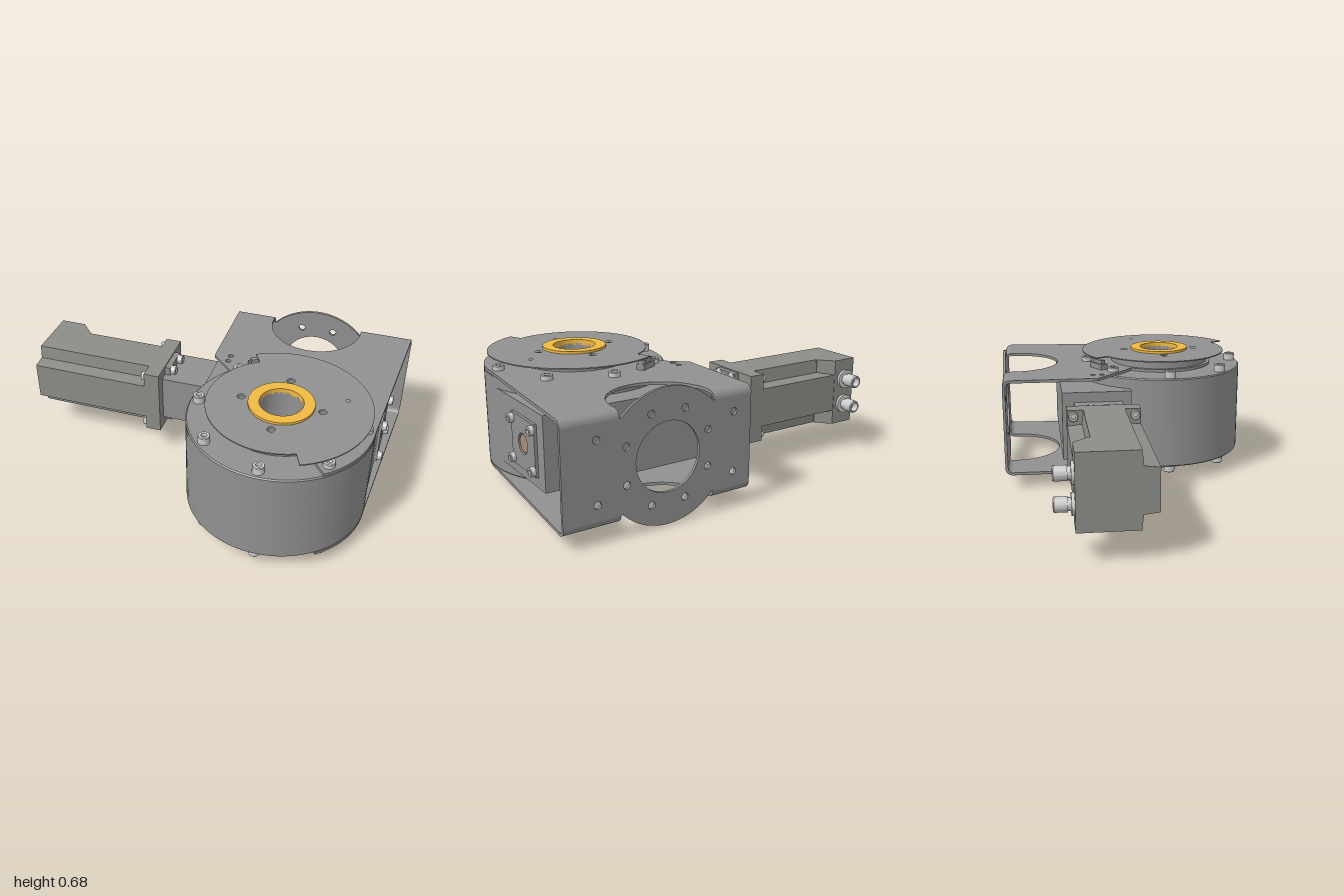
import * as THREE from 'three';
import { toCreasedNormals } from 'three/addons/utils/BufferGeometryUtils.js';

const paint = (color) => new THREE.MeshStandardMaterial({ color });
const dark = paint(0x919191), motorGrey = paint(0x8c8c88), steel = paint(0xcccccc);
const brass = paint(0xf0b944), copper = paint(0xa68c7d);
const CX = 0.465, CZ = 0.218, MID = 0.34; // turntable axis and mid height
const AZ = -0.178; // motor and worm axis
const TAU = Math.PI * 2;

export function createModel() {
  const root = new THREE.Group();

  function add(name, geometry, material = dark, parent = root) {
    const mesh = new THREE.Mesh(toCreasedNormals(geometry, 0.5), material);
    mesh.name = name;
    parent.add(mesh);
    return mesh;
  }
  const extrude = (shape, depth) =>
    new THREE.ExtrudeGeometry(shape, { depth, bevelEnabled: false, curveSegments: 48 });
  const poly = (pts) => new THREE.Shape(pts.map(([x, y]) => new THREE.Vector2(x, y)));
  const hole = (shape, x, y, r) => shape.holes.push(new THREE.Path().absarc(x, y, r, 0, TAU, true));
  // Plan shapes hold (x, -z) and rise in y; section shapes hold (-z, y) and run along x.
  const plan = (shape, y0, y1) => extrude(shape, y1 - y0).rotateX(-Math.PI / 2).translate(0, y0, 0);
  const section = (shape, x0, x1) => extrude(shape, x1 - x0).rotateY(Math.PI / 2).translate(x0, 0, 0);
  const box = (x0, x1, y0, y1, z0, z1) =>
    new THREE.BoxGeometry(x1 - x0, y1 - y0, z1 - z0)
      .translate((x0 + x1) / 2, (y0 + y1) / 2, (z0 + z1) / 2);
  const lathe = (pts, n = 72) => new THREE.LatheGeometry(pts.map(([r, y]) => new THREE.Vector2(r, y)), n);
  const ringHoles = (shape, x, y, ring, r, n, start = 0) => {
    for (let i = 0; i < n; i++) {
      const a = start + (i * TAU) / n;
      hole(shape, x + ring * Math.cos(a), y + ring * Math.sin(a), r);
    }
  };

  // Socket-head screw standing on a point and facing a direction
  function screw(name, x, y, z, dir, r = 0.03, h = 0.04) {
    const head = lathe([[0, 0], [r, 0], [r, h * 0.9], [r * 0.9, h], [r * 0.5, h], [r * 0.5, h * 0.5], [0, h * 0.5]], 20);
    const mesh = add(name, head, steel);
    mesh.position.set(x, y, z);
    mesh.quaternion.setFromUnitVectors(new THREE.Vector3(0, 1, 0), new THREE.Vector3(...dir));
  }

  // Round housing with an open bore
  add('housing', lathe([[0.11, 0.09], [0.464, 0.09], [0.47, 0.096], [0.47, 0.584], [0.464, 0.59], [0.11, 0.59], [0.11, 0.09]])
    .translate(CX, 0, CZ));
  // Worm housing, its side running tangent into the round wall
  add('wormHousing', plan(poly([[0, 0], [0.7, 0], [0.8, -0.15], [0.93, -0.15], [0.93, 0.375], [0, 0.375]]), 0.155, 0.53));

  // End cover, worm shaft and screws on the left side
  const cover = poly([[0.045, 0.21], [0.305, 0.21], [0.305, 0.47], [0.045, 0.47]]);
  hole(cover, 0.175, MID, 0.052);
  add('wormCover', section(cover, 0.925, 0.945));
  add('wormShaft', new THREE.CylinderGeometry(0.045, 0.045, 0.03, 32).rotateZ(Math.PI / 2).translate(0.925, MID, -0.175), copper);
  for (const sy of [-1, 1]) for (const sz of [-1, 1])
    screw('coverScrew', 0.945, MID + sy * 0.1, -0.175 + sz * 0.115, [1, 0, 0], 0.024, 0.025);

  // Upper and lower bosses, brass rings and rim screws
  for (const s of [1, -1]) {
    const at = (d) => MID + s * d;
    const boss = new THREE.Shape().absarc(CX, -CZ, 0.28, 0, TAU);
    hole(boss, CX, -CZ, 0.11);
    ringHoles(boss, CX, -CZ, 0.205, 0.02, s > 0 ? 4 : 8);
    add('boss', plan(boss, Math.min(at(0.245), at(0.32)), Math.max(at(0.245), at(0.32))));
    const ring = new THREE.Shape().absarc(CX, -CZ, 0.165, 0, TAU);
    hole(ring, CX, -CZ, 0.11);
    add('brassRing', plan(ring, Math.min(at(0.31), at(0.34)), Math.max(at(0.31), at(0.34))), brass);
    for (let i = 0; i < 8; i++) {
      const a = (i * TAU) / 8;
      screw('rimScrew', CX + 0.425 * Math.cos(a), at(0.25), CZ + 0.425 * Math.sin(a), [0, s, 0]);
    }
  }

  // Thin cam disc with two radii
  const a0 = -1.15, a1 = -4.17;
  const cam = new THREE.Shape();
  cam.absarc(CX, -CZ, 0.375, a0, a1, true);
  cam.absarc(CX, -CZ, 0.45, a1, a0 - TAU, true);
  hole(cam, CX, -CZ, 0.11);
  ringHoles(cam, CX, -CZ, 0.205, 0.02, 4);
  hole(cam, 0.77, -0.09, 0.011);
  add('camDisc', plan(cam, 0.661, 0.667));

  // Bracket arms: oblique corner, collar round the boss, tapered side, half-round cut at the back
  const arm = new THREE.Shape();
  arm.moveTo(0, 0.65);
  arm.lineTo(0, 0.18);
  arm.lineTo(0.16, 0.03);
  arm.absarc(CX, -CZ, 0.3, 2.45, TAU - 0.92, false);
  arm.absarc(CX, -CZ, 0.469, -0.9, 0, false);
  arm.lineTo(0.997, 0.65);
  arm.lineTo(0.715, 0.65);
  arm.absarc(CX, 0.63, 0.25, 0, Math.PI, true);
  arm.lineTo(0.215, 0.65);
  hole(arm, CX, -CZ, 0.2);
  hole(arm, 0.085, 0.2, 0.014);
  hole(arm, 0.085, 0.15, 0.014);
  add('upperArm', plan(arm, 0.59, 0.605));
  add('lowerArm', plan(arm, 0.075, 0.09));

  // Folded corners joining the arms to the back plate
  for (const s of [1, -1]) {
    const fold = new THREE.Shape();
    fold.absarc(0.65, MID + s * 0.225, 0.04, s * Math.PI / 2, 0, s > 0);
    fold.absarc(0.65, MID + s * 0.225, 0.025, 0, s * Math.PI / 2, s < 0);
    add('foldRight', section(fold, 0, 0.215));
    add('foldLeft', section(fold, 0.715, 0.998));
  }

  // Back plate with round flange, centre opening and bolt holes
  const back = new THREE.Shape();
  const edge = 0.225, R = 0.33, ang = Math.asin(edge / R);
  back.moveTo(0, MID + edge);
  back.lineTo(0, MID - edge);
  back.absarc(CX, MID, R, Math.PI + ang, TAU - ang, false);
  back.lineTo(1, MID - edge);
  back.lineTo(1, MID + edge);
  back.absarc(CX, MID, R, ang, Math.PI - ang, false);
  hole(back, CX, MID, 0.17);
  ringHoles(back, CX, MID, 0.235, 0.018, 8, Math.PI / 8);
  for (const x of [-0.365, 0.365]) for (const y of [-0.15, 0.15]) hole(back, CX + x, MID + y, 0.018);
  add('backPlate', extrude(back, 0.015).translate(0, 0, -0.69));

  // Limit sensor beside the cam disc
  const sensor = new THREE.Group();
  sensor.name = 'limitSensor';
  sensor.position.set(0.255, 0.605, -0.155);
  sensor.rotation.y = Math.PI / 6;
  root.add(sensor);
  add('sensorBody', box(-0.055, 0.055, 0, 0.03, -0.022, 0.022), dark, sensor);
  add('sensorLever', box(-0.045, 0.05, 0.03, 0.05, -0.012, 0.012), dark, sensor);
  add('sensorRoller', new THREE.CylinderGeometry(0.018, 0.018, 0.022, 20).translate(0.04, 0.04, 0), dark, sensor);

  // Neck between worm housing and motor
  add('neck', box(-0.265, 0.01, 0.215, 0.475, -0.31, -0.05));

  // Motor: body with a step cut along each corner, square flange, rear connector block
  const h = 0.185, o = 0.104, c = 0.112, MY = 0.343;
  const corner = [[h, o], [c, c], [o, h]];
  const outline = [];
  for (let q = 0; q < 4; q++)
    for (const [u, v] of corner) {
      const p = new THREE.Vector2(u, v).rotateAround(new THREE.Vector2(), (q * Math.PI) / 2);
      outline.push([p.x - AZ, p.y + MY]);
    }
  add('motorBody', section(poly(outline), -1, -0.34), motorGrey);
  add('motorFlange', box(-0.345, -0.26, MY - h, MY + h, AZ - h, AZ + h), motorGrey);
  add('adapterPlate', box(-0.262, -0.23, MY - 0.178, MY + 0.178, AZ - 0.08, AZ + 0.08), motorGrey);
  add('connectorBlock', plan(poly([[-1, 0.25], [-0.79, 0.25], [-0.79, 0.29], [-0.86, 0.364], [-1, 0.364]]), MY - h, MY + h), motorGrey);
  for (const sy of [-1, 1]) for (const sz of [-1, 1]) {
    screw('flangeScrew', -0.345, MY + sy * 0.155, AZ + sz * 0.155, [-1, 0, 0], 0.024, 0.02);
    screw('neckScrew', -0.23, MY + sy * 0.155, AZ + sz * 0.055, [1, 0, 0], 0.024, 0.028);
  }

  // Two round connectors on the back of the motor
  for (const y of [0.27, 0.415]) {
    const plug = lathe([[0, 0], [0.052, 0], [0.052, 0.015], [0.03, 0.015], [0.03, 0.03], [0.035, 0.03], [0.035, 0.09], [0.031, 0.095], [0.024, 0.095], [0.024, 0.06], [0, 0.06]], 32);
    add('connector', plug.rotateX(-Math.PI / 2).translate(-0.935, y, -0.363), steel);
  }
  return root;
}
